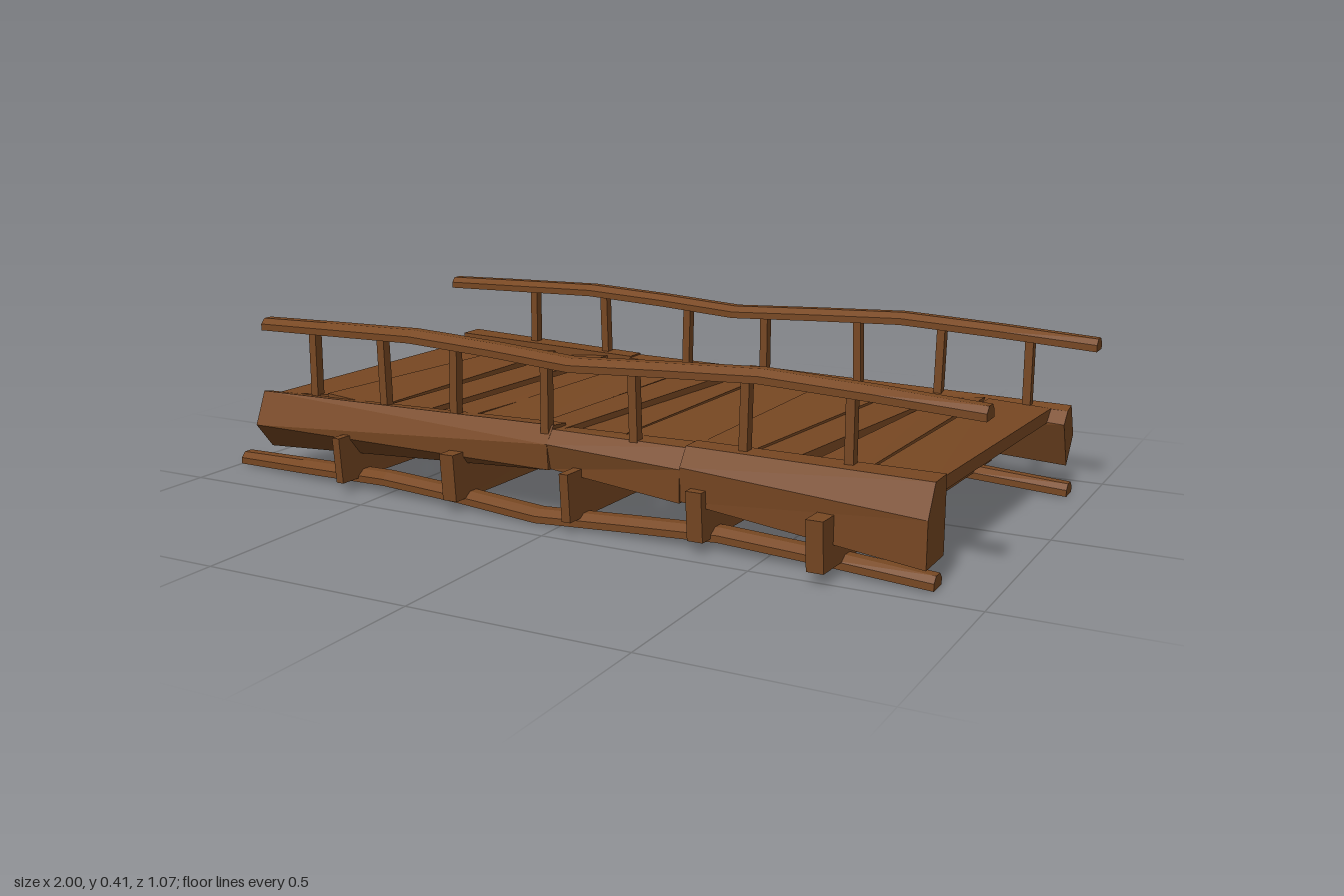
import * as THREE from 'three';

const wood = new THREE.MeshStandardMaterial({ color: 0x784823 });
wood.name = 'brown wood';
wood.flatShading = true;

// Faceted solid through a series of convex rings of [x, y, z] points, capped at both ends
function loft(rings) {
  const tris = [];
  const n = rings[0].length;
  for (let i = 0; i < rings.length - 1; i++) {
    for (let j = 0; j < n; j++) {
      const a = rings[i][j], b = rings[i][(j + 1) % n];
      const c = rings[i + 1][(j + 1) % n], d = rings[i + 1][j];
      tris.push([a, b, c], [a, c, d]);
    }
  }
  const first = rings[0], last = rings[rings.length - 1];
  for (let j = 1; j < n - 1; j++) {
    tris.push([first[0], first[j + 1], first[j]], [last[0], last[j], last[j + 1]]);
  }
  // turn the faces outward if the enclosed volume is negative
  let volume = 0;
  for (const [a, b, c] of tris) {
    volume += a[0] * (b[1] * c[2] - b[2] * c[1]) + a[1] * (b[2] * c[0] - b[0] * c[2]) + a[2] * (b[0] * c[1] - b[1] * c[0]);
  }
  if (volume < 0) tris.forEach((t) => t.reverse());
  const geo = new THREE.BufferGeometry();
  geo.setAttribute('position', new THREE.Float32BufferAttribute(tris.flat(2), 3));
  geo.computeVertexNormals();
  return geo;
}

function add(parent, name, geo) {
  const mesh = new THREE.Mesh(geo, wood);
  mesh.name = name;
  parent.add(mesh);
  return mesh;
}

// Wavy rail path: x, bottom y, centre z
const railPath = [
  [-0.89, 0.36, -0.46], [-0.67, 0.37, -0.438], [-0.4, 0.38, -0.415], [-0.17, 0.372, -0.402],
  [0.05, 0.362, -0.382], [0.28, 0.372, -0.39], [0.5, 0.38, -0.398], [0.75, 0.372, -0.385], [0.99, 0.362, -0.365],
];

function railGeometry() {
  return loft(railPath.map(([x, y, z], i) => {
    const w = i === 0 || i === 8 ? 0.025 : 0.031;
    return [
      [x, y, z - w], [x, y, z + w], [x, y + 0.016, z + w],
      [x, y + 0.029, z + 0.012], [x, y + 0.029, z - 0.012], [x, y + 0.016, z - w],
    ];
  }));
}

function railAt(x) {
  let i = 0;
  while (i < railPath.length - 2 && railPath[i + 1][0] < x) i++;
  const a = railPath[i], b = railPath[i + 1];
  const t = (x - a[0]) / (b[0] - a[0]);
  return { y: a[1] + (b[1] - a[1]) * t, z: a[2] + (b[2] - a[2]) * t };
}

// Three-log side beam; each log is a pair of five-sided [z, y] ends
const beamLogs = [
  [-0.88, [[0.365, 0.07], [0.42, 0.135], [0.385, 0.215], [0.35, 0.208], [0.32, 0.18]],
    -0.03, [[0.345, 0.12], [0.42, 0.13], [0.425, 0.19], [0.395, 0.228], [0.34, 0.222]]],
  [-0.03, [[0.36, 0.118], [0.41, 0.13], [0.425, 0.19], [0.4, 0.22], [0.345, 0.215]],
    0.31, [[0.35, 0.105], [0.44, 0.105], [0.44, 0.18], [0.41, 0.222], [0.35, 0.222]]],
  [0.31, [[0.355, 0.108], [0.435, 0.108], [0.44, 0.185], [0.41, 0.226], [0.355, 0.226]],
    0.88, [[0.39, 0.065], [0.5, 0.065], [0.5, 0.167], [0.46, 0.235], [0.39, 0.235]]],
];

function sideBeam(name) {
  const group = new THREE.Group();
  group.name = name;
  for (const [x0, e0, x1, e1] of beamLogs) {
    add(group, 'sideBeamLog', loft([e0.map(([z, y]) => [x0, y, z]), e1.map(([z, y]) => [x1, y, z])]));
  }
  return group;
}

// Deck planks: front x start/end, back x start/end
const planks = [
  [-0.87, -0.70, -0.81, -0.65], [-0.705, -0.545, -0.655, -0.50], [-0.54, -0.405, -0.475, -0.325],
  [-0.39, -0.265, -0.31, -0.215], [-0.27, -0.125, -0.22, -0.075], [-0.113, -0.015, -0.063, 0.075],
  [-0.02, 0.125, 0.07, 0.155], [0.14, 0.295, 0.168, 0.335], [0.29, 0.425, 0.33, 0.505],
  [0.42, 0.54, 0.5, 0.63], [0.58, 0.685, 0.622, 0.73], [0.70, 0.86, 0.742, 0.895],
];

export function createModel() {
  const bridge = new THREE.Group();
  bridge.name = 'woodenBridge';

  // deck, each board slightly twisted
  const deck = new THREE.Group();
  deck.name = 'deck';
  bridge.add(deck);
  planks.forEach(([f0, f1, b0, b1], i) => {
    const tiltF = [0.006, -0.007, 0.004][i % 3], tiltB = [-0.005, 0.005, 0.007, -0.004][i % 4];
    const end = (x0, x1, z, y, tilt) => [
      [x0, y - tilt, z], [x1, y + tilt, z], [x1, y + tilt + 0.03, z], [x0, y - tilt + 0.03, z],
    ];
    const slide = 0.05 * (f0 + f1) / 2;
    add(deck, 'plank', loft([
      end(f0, f1, 0.385 + slide, 0.18 + 0.004 * (i % 2), tiltF),
      end(b0, b1, -0.41 + slide, 0.178 + 0.003 * (i % 3), tiltB),
    ]));
  });

  // joists under the deck: front x, front z, back x, back z, width
  const joists = [
    [-0.6, 0.46, -0.555, -0.535, 0.02], [-0.28, 0.46, -0.235, -0.515, 0.037], [0.042, 0.475, 0.087, -0.505, 0.022],
    [0.355, 0.465, 0.397, -0.475, 0.037], [0.656, 0.53, 0.705, -0.5, 0.038],
  ];
  for (const [xf, zf, xb, zb, w] of joists) {
    const end = (x, z, lean) => [
      [x - w / 2, 0.03, z - lean], [x + w / 2, 0.03, z - lean], [x + w / 2, 0.143, z], [x - w / 2, 0.143, z],
    ];
    add(bridge, 'joist', loft([end(xf, zf, 0.01), end(xb, zb, -0.01)]));
  }

  // side beams, the back one turned half way round
  bridge.add(sideBeam('frontSideBeam'));
  const backBeam = sideBeam('backSideBeam');
  backBeam.rotation.y = Math.PI;
  backBeam.position.set(0.055, 0, -0.02);
  bridge.add(backBeam);

  // hand rails, ground rails and rail posts
  const rail = railGeometry();
  const sides = [
    { name: 'front', dx: -0.03, dz: 0.785, low: -0.11, posts: [-0.745, -0.52, -0.305, -0.045, 0.18, 0.44, 0.68] },
    { name: 'back', dx: 0, dz: 0, low: -0.04, posts: [-0.59, -0.35, -0.09, 0.14, 0.395, 0.61, 0.835] },
  ];
  for (const { name, dx, dz, low, posts } of sides) {
    add(bridge, name + 'HandRail', rail).position.set(dx + 0.01, 0, dz);
    add(bridge, name + 'GroundRail', rail).position.set(low, -0.357, dz);
    posts.forEach((x, i) => {
      const { y, z } = railAt(x - dx);
      const top = y + 0.008;
      const post = add(bridge, name + 'RailPost', new THREE.BoxGeometry(0.02, top - 0.17, 0.024));
      post.position.set(x, (top + 0.17) / 2, z + dz);
      post.rotation.z = [0, 0.03, -0.02][i % 3];
    });
  }
  return bridge;
}
